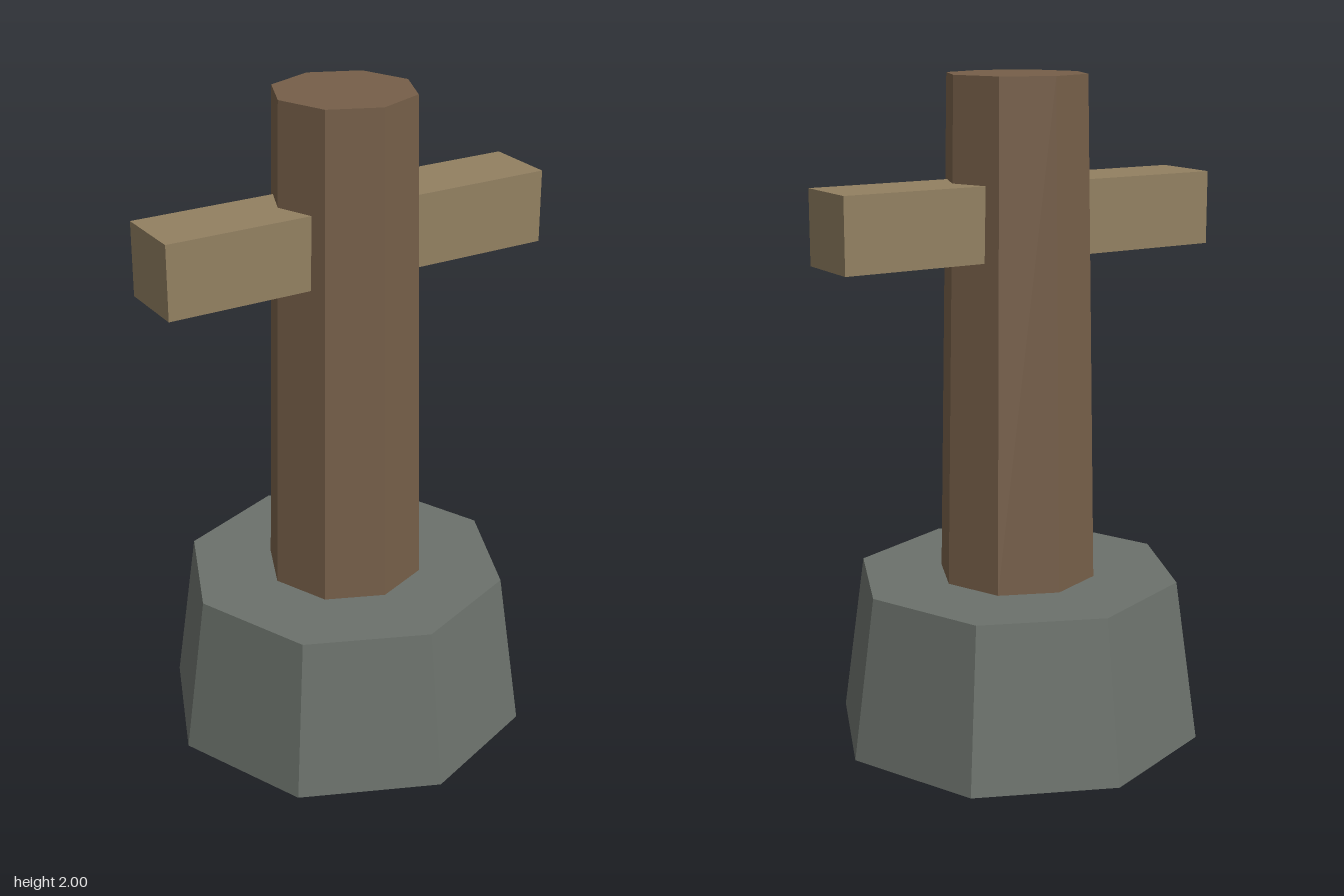
import * as THREE from 'three';

export function createModel() {
  const model = new THREE.Group();

  const add = (name, geometry, color, y) => {
    const material = new THREE.MeshStandardMaterial({ color, flatShading: true });
    const mesh = new THREE.Mesh(geometry, material);
    mesh.name = name;
    mesh.position.y = y;
    model.add(mesh);
  };

  const baseTop = 0.495;
  const postHeight = 2 - baseTop;

  // Tapered octagonal stone footing
  add('stoneBase', new THREE.CylinderGeometry(0.495, 0.565, baseTop, 8), 0x6b716b, baseTop / 2);

  // Octagonal timber post standing on the footing
  add('post', new THREE.CylinderGeometry(0.21, 0.24, postHeight, 8), 0x765f49, baseTop + postHeight / 2);

  // Square beam running through the post
  add('crossbeam', new THREE.BoxGeometry(1.23, 0.22, 0.22), 0x928061, 1.585);

  return model;
}
